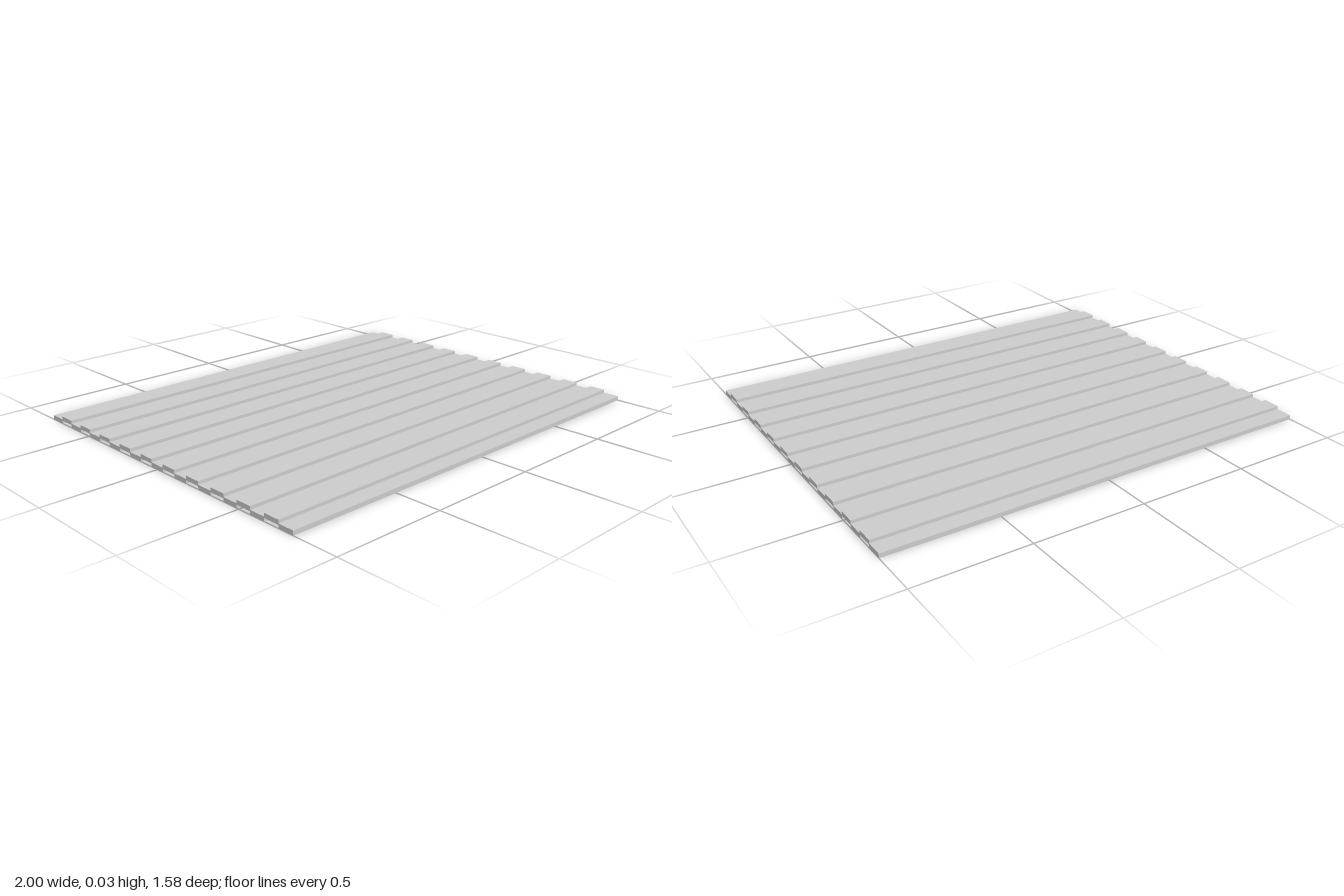
import * as THREE from 'three';

// Corrugated sheet: square ridges and valleys running along x
const LENGTH = 2;
const STRIPS = 21;
const HALF_DEPTH = 0.79;
const THICKNESS = 0.019;
const RISE = 0.014;

export function createModel() {
  const group = new THREE.Group();
  group.name = 'corrugatedSheet';

  // Stepped cross-section: the upper outline, and the same outline lowered by the thickness
  const step = (2 * HALF_DEPTH) / STRIPS;
  const lower = [];
  for (let i = 0; i < STRIPS; i++) {
    const y = i % 2 ? RISE : 0;
    const start = -HALF_DEPTH + i * step;
    lower.push(new THREE.Vector2(start, y), new THREE.Vector2(start + step, y));
  }
  const upper = lower.map(p => new THREE.Vector2(p.x, p.y + THICKNESS)).reverse();
  const profile = new THREE.Shape([...lower, ...upper]);

  // Run the section along the full length
  const geometry = new THREE.ExtrudeGeometry(profile, { depth: LENGTH, bevelEnabled: false });
  geometry.translate(0, 0, -LENGTH / 2);
  geometry.rotateY(Math.PI / 2);

  const material = new THREE.MeshStandardMaterial({ color: 0xcccccc, flatShading: true });
  const sheet = new THREE.Mesh(geometry, material);
  sheet.name = 'ribbedPanel';
  group.add(sheet);
  return group;
}
